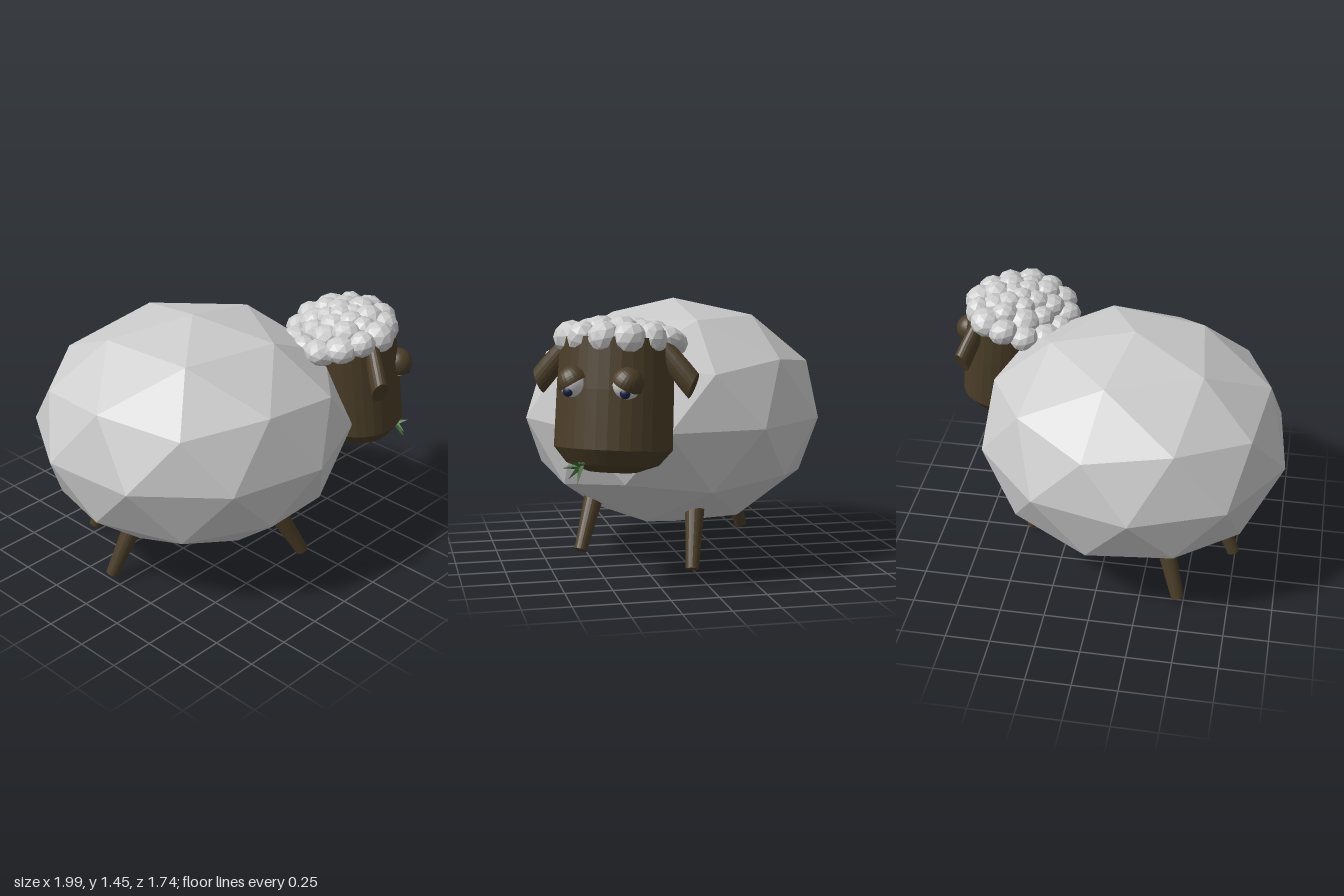
import * as THREE from 'three';

const mat = (color, side = THREE.FrontSide) =>
  new THREE.MeshStandardMaterial({ color, side, flatShading: true });
const wool = mat(0xcccccc);
const brown = mat(0x4a3d27);
const brownThin = mat(0x4a3d27, THREE.DoubleSide);
const green = mat(0x3f6b35, THREE.DoubleSide);
const white = new THREE.MeshStandardMaterial({ color: 0xdddddd });
const navy = new THREE.MeshStandardMaterial({ color: 0x1c2048 });

function add(parent, name, geometry, material) {
  const m = new THREE.Mesh(geometry, material);
  m.name = name;
  parent.add(m);
  return m;
}

// Tapered round bar between two points
function bar(parent, name, a, b, ra, rb, sides, material) {
  const from = new THREE.Vector3(...a), to = new THREE.Vector3(...b);
  const dir = to.clone().sub(from);
  const m = add(parent, name, new THREE.CylinderGeometry(rb, ra, dir.length(), sides), material);
  m.position.copy(from).addScaledVector(dir, 0.5);
  m.quaternion.setFromUnitVectors(new THREE.Vector3(0, 1, 0), dir.normalize());
  return m;
}

// Faceted ball with one corner straight up
function facetBall() {
  const g = new THREE.IcosahedronGeometry(1, 1);
  g.rotateZ(Math.atan(2 / (1 + Math.sqrt(5))));
  g.rotateY(-Math.PI / 2);
  return g;
}

// Flattened ear: vertical oval slices sliding outwards and down
function earGeometry(side) {
  const g = new THREE.CylinderGeometry(1, 1, 1, 20, 4);
  const p = g.attributes.position;
  for (let i = 0; i < p.count; i++) {
    const t = p.getY(i) + 0.5, u = p.getX(i), w = p.getZ(i);
    const swell = 0.8 + 0.2 * Math.sin(t * Math.PI * 0.6);
    const dy = -u * 0.064 * swell;
    p.setXYZ(i, side * (0.23 + 0.19 * t + 0.4 * dy), 1.28 - 0.215 * t + dy, 0.935 + side * w * 0.045 * swell);
  }
  return g;
}

function makeEye(side) {
  const eye = new THREE.Group();
  eye.name = side > 0 ? 'leftEye' : 'rightEye';
  const ball = add(eye, 'eyeball', new THREE.SphereGeometry(0.072, 24, 16), white);
  ball.position.y = -0.006;
  // pupil looks forwards and down
  const pupil = add(eye, 'pupil', new THREE.SphereGeometry(0.027, 16, 12), navy);
  pupil.position.set(0, -0.043, 0.053);
  pupil.scale.z = 0.8;
  // heavy lid, drooping on the outside
  const lid = add(eye, 'eyelid', new THREE.SphereGeometry(0.082, 24, 10, 0, Math.PI * 2, 0, Math.PI * 0.54), brownThin);
  lid.rotation.set(0.15, 0, -side * 0.5);
  eye.position.set(side * 0.143, 1.09, 1.14);
  eye.rotation.y = side * 0.15;
  return eye;
}

export function createModel() {
  const model = new THREE.Group();
  model.name = 'sheep';

  // The sheep is built facing +z, then turned
  const sheep = new THREE.Group();
  sheep.name = 'turnedSheep';
  sheep.position.set(-0.14, 0, -0.02);
  sheep.rotation.y = THREE.MathUtils.degToRad(58.7);
  model.add(sheep);

  const body = add(sheep, 'body', facetBall(), wool);
  body.scale.set(0.85, 0.65, 0.89);
  body.position.y = 0.8;

  // Legs: foot and hip
  const legs = [
    ['frontRightLeg', [-0.36, 0.075, 0.545], [-0.335, 0.45, 0.33]],
    ['frontLeftLeg', [0.29, 0.02, 0.545], [0.245, 0.45, 0.34]],
    ['backRightLeg', [-0.27, 0.04, -0.54], [-0.235, 0.45, -0.35]],
    ['backLeftLeg', [0.255, 0.04, -0.54], [0.2, 0.45, -0.36]],
  ];
  for (const [name, foot, hip] of legs) bar(sheep, name, foot, hip, 0.036, 0.06, 20, brown);

  // Head: oval drum with a bowl-shaped chin, leaning back a little
  const profile = [[0, -0.122], [0.42, -0.12], [0.78, -0.08], [1, 0], [0.985, 0.3], [0.95, 0.56], [0, 0.58]]
    .map(([r, y]) => new THREE.Vector2(r, y));
  const head = add(sheep, 'head', new THREE.LatheGeometry(profile, 32), brown);
  head.scale.set(0.31, 1, 0.255);
  head.position.set(0, 0.735, 0.967);
  head.rotation.x = -0.12;

  for (const side of [-1, 1]) {
    add(sheep, side > 0 ? 'leftEar' : 'rightEar', earGeometry(side), brown);
    sheep.add(makeEye(side));
  }

  // Woolly cap: rings of faceted tufts, lower towards the neck
  const cap = new THREE.Group();
  cap.name = 'woolCap';
  sheep.add(cap);
  const tuft = facetBall();
  // count, half width, half depth, height, tuft radius
  const rings = [
    [13, 0.262, 0.235, 1.285, 0.088],
    [9, 0.17, 0.15, 1.318, 0.084],
    [5, 0.085, 0.075, 1.335, 0.076],
    [1, 0, 0, 1.345, 0.068],
  ];
  rings.forEach(([count, w, d, y, r], ring) => {
    for (let i = 0; i < count; i++) {
      const a = ((i + ring * 0.5) / count) * Math.PI * 2;
      const front = Math.cos(a) * d;
      const vary = 1 + 0.1 * Math.sin(i * 2.4 + ring);
      const m = add(cap, 'woolTuft', tuft, wool);
      m.position.set(Math.sin(a) * w, y + Math.min(0, front + 0.02) * 0.4 + Math.max(0, front) * 0.08, 0.845 + front);
      m.scale.set(r * vary, r * (front > 0.1 ? 1.02 : 0.82), r * vary);
      m.rotation.set(0.2 * Math.sin(i * 1.7), i * 1.3, 0.2 * Math.cos(i * 2.1));
    }
  });

  // Sprig of grass in the mouth
  const sprig = new THREE.Group();
  sprig.name = 'grassSprig';
  sheep.add(sprig);
  const root = [-0.09, 0.675, 1.18];
  bar(sprig, 'stem', [-0.06, 0.71, 1.12], root, 0.009, 0.009, 6, green);
  for (const tip of [[-0.096, 0.585, 1.217], [-0.18, 0.66, 1.195], [-0.125, 0.7, 1.235], [-0.145, 0.61, 1.21]]) {
    const leaf = bar(sprig, 'leaf', root, tip, 0.02, 0.001, 4, green);
    leaf.scale.z = 0.5;
  }
  return model;
}
